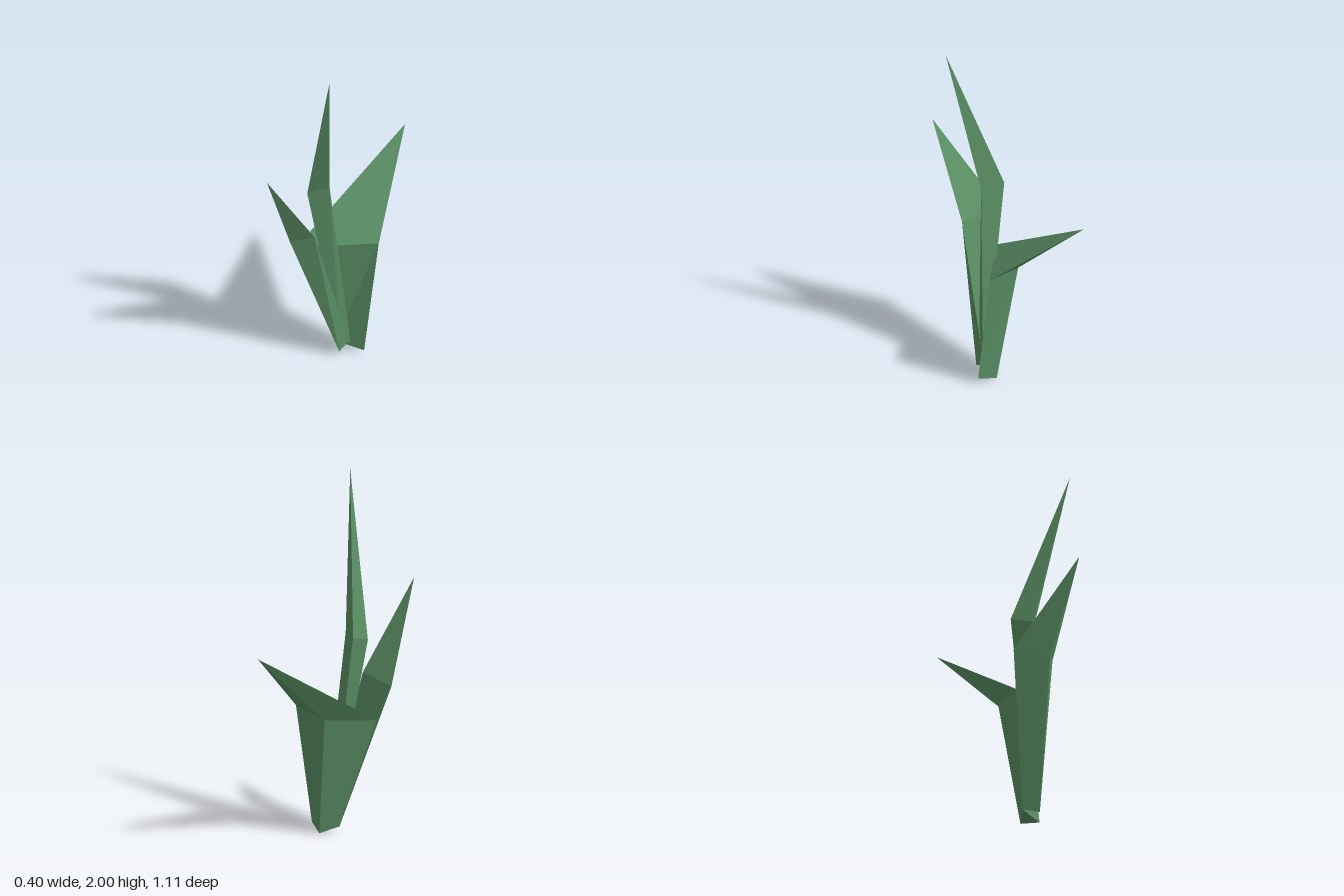
import * as THREE from 'three';

// One leaf: a three-sided stem from a base ring to a wider middle ring, closed by a pointed tip.
// Rings run counter-clockwise seen from above.
function makeLeaf(name, base, middle, tip, material) {
  const triangles = [base[0], base[2], base[1]];
  for (let i = 0; i < 3; i++) {
    const j = (i + 1) % 3;
    triangles.push(base[i], base[j], middle[j]);
    triangles.push(base[i], middle[j], middle[i]);
    triangles.push(middle[i], middle[j], tip);
  }
  const geometry = new THREE.BufferGeometry();
  geometry.setAttribute('position', new THREE.Float32BufferAttribute(triangles.flat(), 3));
  geometry.computeVertexNormals();
  const mesh = new THREE.Mesh(geometry, material);
  mesh.name = name;
  return mesh;
}

export function createModel() {
  const group = new THREE.Group();
  group.name = 'plant';
  const green = new THREE.MeshStandardMaterial({ color: 0x5a8f64, flatShading: true });

  // Short broad leaf leaning to the back
  group.add(makeLeaf('backLeaf',
    [[0.19, 0.03, 0], [0.08, 0, -0.03], [0.025, 0.035, 0.06]],
    [[0.2, 0.715, -0.1], [-0.035, 0.685, -0.078], [-0.135, 0.66, 0.2]],
    [-0.075, 1.14, -0.555], green));

  // Medium leaf leaning to the front
  group.add(makeLeaf('frontLeaf',
    [[0.02, 0.035, 0.06], [0.105, 0.03, 0.105], [0.11, 0.07, 0.04]],
    [[-0.2, 0.86, 0.25], [-0.025, 0.835, 0.35], [0.07, 0.87, 0.255]],
    [0.01, 1.37, 0.555], green));

  // Tall slender leaf in the middle
  group.add(makeLeaf('tallLeaf',
    [[0.1, 0.06, 0.09], [0.12, 0.07, 0.035], [0.08, 0.07, 0.055]],
    [[-0.035, 1.09, 0.212], [0.05, 1.13, 0.125], [-0.08, 1.14, 0.08]],
    [0.19, 2, 0.257], green));

  return group;
}
